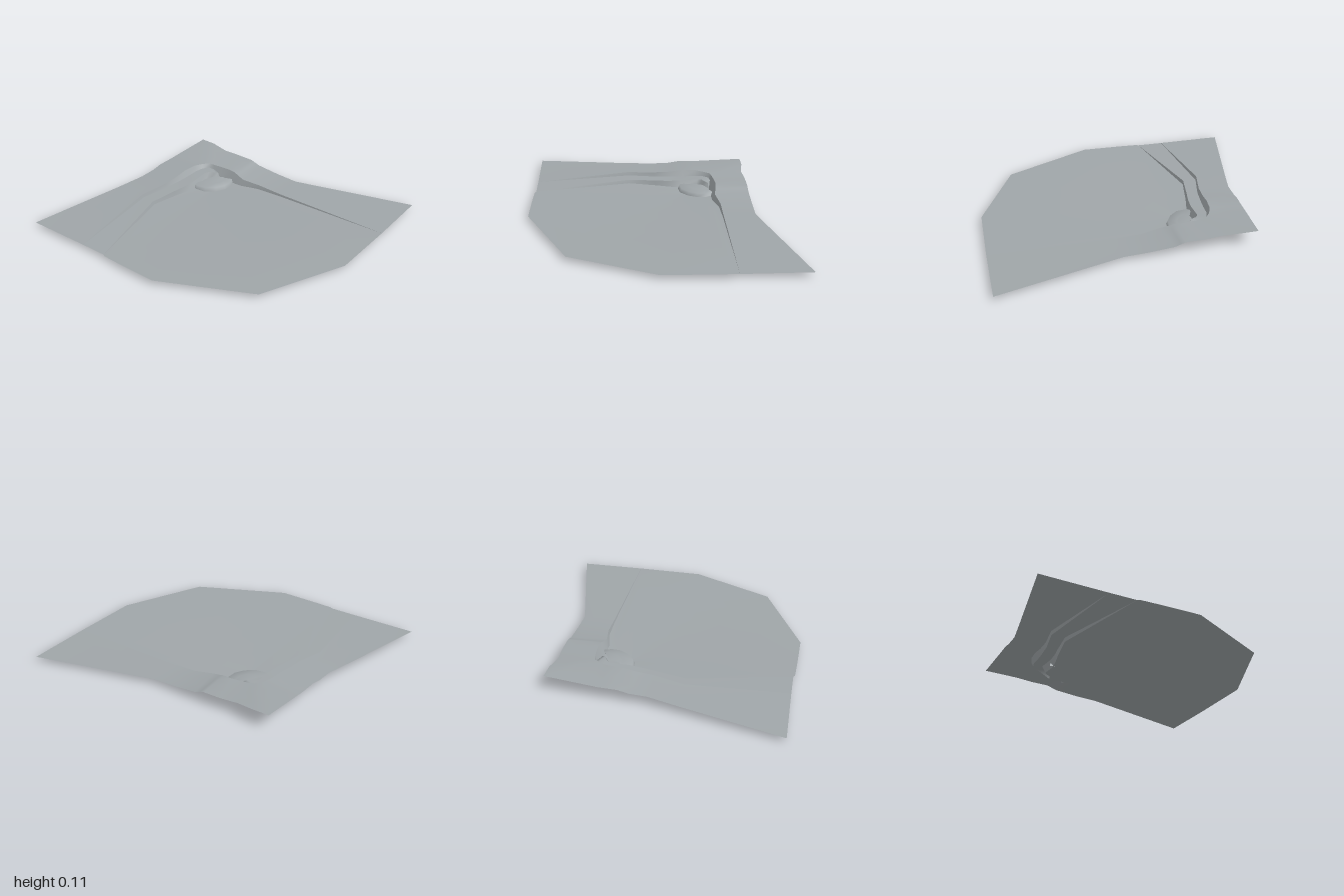
import * as THREE from 'three';

const ground = new THREE.MeshStandardMaterial({ color: 0x9fa5a8, side: THREE.DoubleSide });
ground.name = 'grey ground';

// Surface through rows of cross-sections; each row runs from the outside inward
function loft(name, rows, closed = false) {
  const n = rows[0].length, index = [];
  const last = closed ? rows.length : rows.length - 1;
  for (let i = 0; i < last; i++) {
    for (let j = 0; j < n - 1; j++) {
      const a = i * n + j, b = ((i + 1) % rows.length) * n + j;
      index.push(a, a + 1, b, a + 1, b + 1, b);
    }
  }
  const geometry = new THREE.BufferGeometry();
  geometry.setAttribute('position', new THREE.Float32BufferAttribute(rows.flat(2), 3));
  geometry.setIndex(index);
  geometry.computeVertexNormals();
  const mesh = new THREE.Mesh(geometry, ground);
  mesh.name = name;
  return mesh;
}

// The floor is a very shallow bowl around this point
const cx = -0.32, cz = -0.22;
const floorY = (x, z) => 0.028 * Math.min(1, Math.hypot(x - cx, z - cz) / 1.05) ** 0.8 + 0.002;
const onFloor = (x, z) => [x, floorY(x, z), z];
const mix = (a, b, t) => a.map((v, i) => v + (b[i] - v) * t);

// Foot of a step: moved toward the bowl in proportion to its drop
function foot([x, y, z], low) {
  const d = Math.hypot(cx - x, cz - z), s = Math.max(0, y - low) * 0.5 / d;
  return [x + (cx - x) * s, low, z + (cz - z) * s];
}

// Outer edge x, z, y; bank crest x, z, y; terrace lip x, z, y
const west = [
  [-1, 0.885, 0.03, -0.54, 0.88, 0.03, -0.35, 0.88, 0.03],
  [-0.845, 0.2, 0.055, -0.62, 0.2, 0.066, -0.52, 0.2, 0.042],
  [-0.8, 0, 0.066, -0.575, 0, 0.078, -0.485, 0, 0.048],
  [-0.795, -0.12, 0.07, -0.565, -0.12, 0.085, -0.465, -0.1, 0.05],
  [-0.79, -0.2, 0.085, -0.56, -0.22, 0.1, -0.455, -0.2, 0.055],
  [-0.785, -0.32, 0.085, -0.55, -0.32, 0.1, -0.46, -0.33, 0.06],
  [-0.78, -0.4, 0.09, -0.525, -0.38, 0.095, -0.44, -0.36, 0.065],
  [-0.76, -0.69, 0.107, -0.49, -0.425, 0.095, -0.4, -0.38, 0.065],
  [-0.65, -0.69, 0.105, -0.45, -0.435, 0.09, -0.385, -0.4, 0.06],
];
// Outer edge and crest only: the terrace has run out here
const north = [
  [-0.52, -0.67, 0.092, -0.38, -0.445, 0.088],
  [-0.4, -0.68, 0.087, -0.32, -0.45, 0.086],
  [-0.27, -0.68, 0.084, -0.26, -0.445, 0.084],
  [-0.24, -0.68, 0.074, -0.23, -0.44, 0.074],
  [-0.2, -0.68, 0.06, -0.17, -0.43, 0.058],
  [-0.03, -0.68, 0.043, -0.03, -0.455, 0.043],
  [0.14, -0.68, 0.034, 0.14, -0.455, 0.034],
  [0.99, -0.91, 0.03, 0.99, -0.45, 0.03],
];

export function createModel() {
  const group = new THREE.Group();
  group.name = 'terrain';

  const bank = [], bankWall = [], terrace = [], terraceWall = [], rim = [];
  for (const [ox, oz, oy, ax, az, ay, bx, bz, by] of [...west, ...north]) {
    const edge = [ox, oy, oz], crest = [ax, ay, az];
    bank.push([0, 0.35, 0.7, 1].map(t => mix(edge, crest, t)));
    if (bx === undefined) {
      const base = foot(crest, floorY(ax, az));
      bankWall.push([crest, base]);
      rim.push(base);
      continue;
    }
    const base = foot(crest, by), lip = [bx, by, bz];
    const lipFoot = foot(lip, floorY(bx, bz));
    bankWall.push([crest, base]);
    terrace.push([base, lip]);
    terraceWall.push([lip, lipFoot]);
    rim.push(lipFoot);
  }
  // Terrace tapers into the foot of the bank
  const end = rim[west.length];
  terrace.push([end, end]);
  terraceWall.push([end, end]);

  group.add(
    loft('outerBank', bank),
    loft('bankWall', bankWall),
    loft('terrace', terrace),
    loft('terraceWall', terraceWall),
  );

  // Broad floor: rings from the rim and open edge down to the centre
  for (const [x, z] of [[0.98, 0.03], [0.71, 0.61], [0.09, 0.9], [-0.2, 0.895], [-0.33, 0.89]]) {
    rim.push(onFloor(x, z));
  }
  const floor = rim.map(p => [1, 0.8, 0.6, 0.4, 0.2, 0].map(s => {
    const x = cx + (p[0] - cx) * s, z = cz + (p[2] - cz) * s;
    return s === 1 ? p : onFloor(x, z);
  }));
  group.add(loft('floor', floor, true));

  // Low rounded platform with a raised inner step
  const px = -0.39, pz = -0.36;
  const arc = [[-0.27, -0.43], [-0.25, -0.37], [-0.255, -0.31], [-0.29, -0.25],
    [-0.35, -0.2], [-0.42, -0.19], [-0.455, -0.2]];
  const platform = arc.map(([x, z]) => [[1.07, null], [1, 0.032], [0.58, 0.034], [0.5, 0.042], [0, 0.043]]
    .map(([s, y]) => {
      const qx = px + (x - px) * s, qz = pz + (z - pz) * s;
      return [qx, y ?? floorY(qx, qz), qz];
    }));
  group.add(loft('roundedPlatform', platform));
  return group;
}
